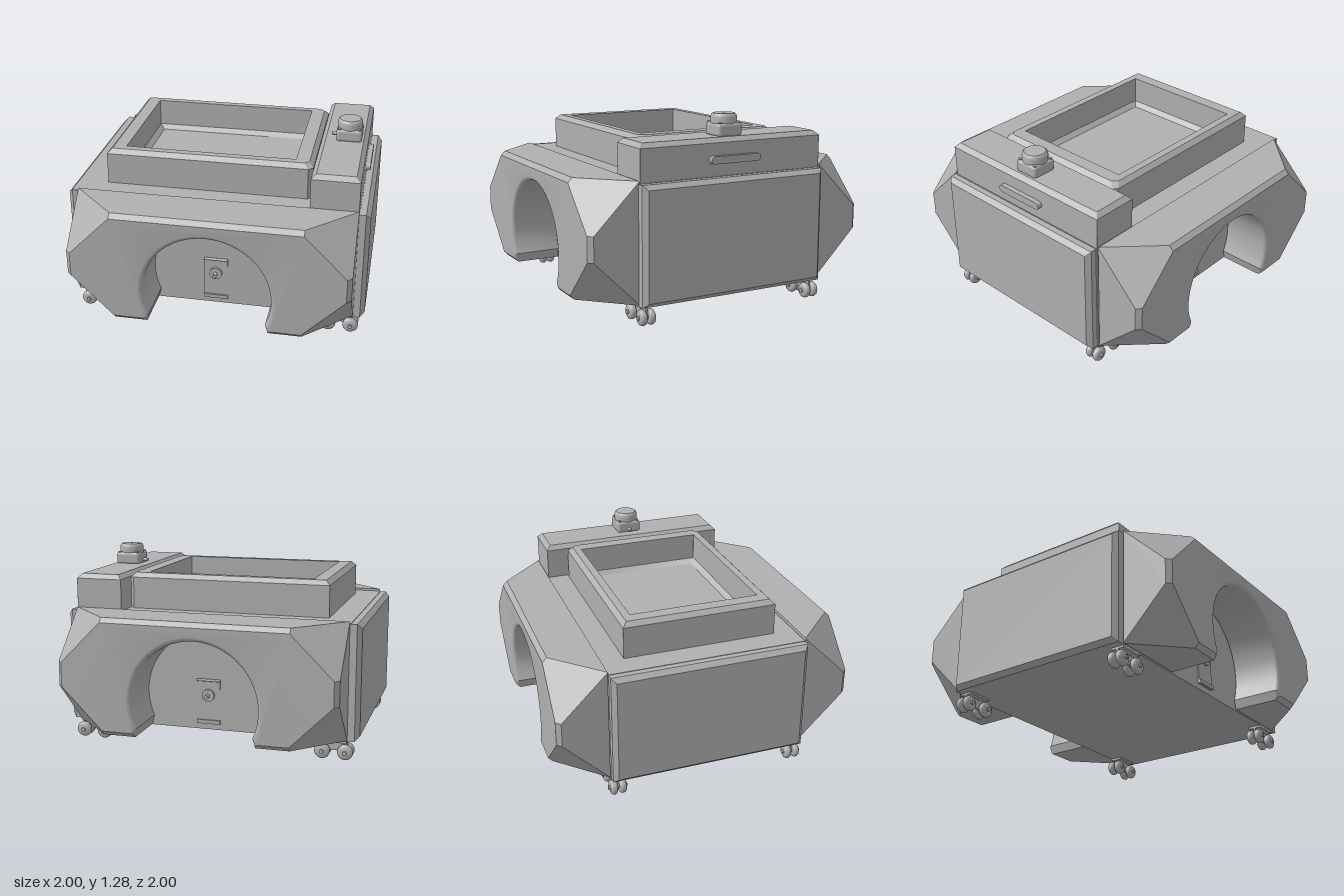
import * as THREE from 'three';
import { toCreasedNormals } from 'three/addons/utils/BufferGeometryUtils.js';
import { RoundedBoxGeometry } from 'three/addons/geometries/RoundedBoxGeometry.js';

const grey = new THREE.MeshStandardMaterial({ color: 0xb0b0b0 });
grey.name = 'grey';

// Skins a stack of counter-clockwise outlines { z, pts } and caps both ends
function loft(rings) {
  const pos = [];
  const put = (ring, i) => pos.push(ring.pts[i][0], ring.pts[i][1], ring.z);
  const n = rings[0].pts.length;
  for (let r = 0; r < rings.length - 1; r++) {
    const a = rings[r], b = rings[r + 1];
    for (let i = 0; i < n; i++) {
      const j = (i + 1) % n;
      put(a, i); put(a, j); put(b, j);
      put(a, i); put(b, j); put(b, i);
    }
  }
  const cap = (ring, flip) => {
    const contour = ring.pts.map(([x, y]) => new THREE.Vector2(x, y));
    for (const [a, b, c] of THREE.ShapeUtils.triangulateShape(contour, [])) {
      for (const i of flip ? [a, c, b] : [a, b, c]) put(ring, i);
    }
  };
  cap(rings[0], true);
  cap(rings[rings.length - 1], false);
  const geo = new THREE.BufferGeometry();
  geo.setAttribute('position', new THREE.Float32BufferAttribute(pos, 3));
  return toCreasedNormals(geo, 0.5);
}

// Rectangle outline whose right-hand corners are cut by c
const rect = (x0, x1, y0, y1, inset = 0, c = 0.001) => {
  const l = x0 + inset, r = x1 - inset, b = y0 + inset, t = y1 - inset;
  return [[l, b], [r - c, b], [r, b + c], [r, t - c], [r - c, t], [l, t]];
};

function add(parent, name, geo, x = 0, y = 0, z = 0) {
  const mesh = new THREE.Mesh(geo, grey);
  mesh.name = name;
  mesh.position.set(x, y, z);
  parent.add(mesh);
  return mesh;
}

// End module: corner-cut block with an arched opening and softened rim
function endModuleGeometry() {
  const ring = (z, inset, flare) => {
    const c = z - 0.67 - 2 * inset + 0.006;
    const hx = 0.925 - inset, yb = 0.14 + inset, yt = 0.915 - inset, foot = 0.4 + flare;
    const pts = [[foot, yb], [hx - c, yb], [hx, yb + c], [hx, yt - c], [hx - c, yt],
      [c - hx, yt], [-hx, yt - c], [-hx, yb + c], [c - hx, yb], [-foot, yb]];
    const steps = 48, low = 0.42;
    for (let i = 0; i <= steps; i++) {
      const a = Math.PI + low - (i / steps) * (Math.PI + 2 * low);
      pts.push([(0.42 + flare) * Math.cos(a), 0.375 + (0.42 + flare) * Math.sin(a)]);
    }
    return { z, pts };
  };
  const rings = [ring(0.667, 0, 0)];
  for (let k = 0; k <= 5; k++) {
    const a = (k / 5) * Math.PI / 2, d = 0.03 * Math.sin(a);
    rings.push(ring(0.97 + d, d, 0.03 * (1 - Math.cos(a))));
  }
  return loft(rings);
}

// End module with the small service panel inside its arch
function makeEnd(name) {
  const end = new THREE.Group();
  end.name = name;
  add(end, 'archedModule', endModuleGeometry());
  add(end, 'servicePlate', new THREE.BoxGeometry(0.16, 0.3, 0.008), 0, 0.325, 0.664);
  add(end, 'upperBar', new RoundedBoxGeometry(0.16, 0.016, 0.02, 2, 0.007), 0, 0.472, 0.67);
  add(end, 'lowerBar', new THREE.BoxGeometry(0.16, 0.025, 0.02), 0, 0.19, 0.67);
  const knob = new THREE.CylinderGeometry(0.042, 0.042, 0.02, 32).rotateX(Math.PI / 2);
  add(end, 'connector', knob, 0, 0.37, 0.675);
  const pin = new THREE.CylinderGeometry(0.013, 0.013, 0.05, 16).rotateX(Math.PI / 2);
  add(end, 'connectorPin', pin, 0, 0.37, 0.7);
  return end;
}

// Caster: two pairs of wheels joined by a bracket
function makeCaster(x, z) {
  const caster = new THREE.Group();
  caster.name = 'caster';
  const profile = [[0.0, -0.022], [0.036, -0.022], [0.046, -0.016], [0.051, -0.006], [0.051, 0.006],
    [0.046, 0.016], [0.036, 0.022], [0.0, 0.022]].map(([r, y]) => new THREE.Vector2(r, y));
  const wheelGeo = toCreasedNormals(new THREE.LatheGeometry(profile, 28).rotateX(Math.PI / 2), 0.6);
  for (const sx of [-1, 1]) {
    for (const sz of [-1, 1]) add(caster, 'wheel', wheelGeo, sx * 0.075, 0.056, sz * 0.029);
    const axle = new THREE.CylinderGeometry(0.014, 0.014, 0.125, 16).rotateX(Math.PI / 2);
    add(caster, 'axle', axle, sx * 0.075, 0.056, 0);
  }
  const s = new THREE.Shape();
  s.moveTo(-0.085, 0.13);
  s.lineTo(-0.095, 0.05);
  s.lineTo(-0.055, 0.045);
  s.quadraticCurveTo(0, 0.07, 0.055, 0.045);
  s.lineTo(0.095, 0.05);
  s.lineTo(0.085, 0.13);
  const bracket = new THREE.ExtrudeGeometry(s, { depth: 0.012, bevelEnabled: false }).translate(0, 0, -0.006);
  add(caster, 'bracket', bracket);
  add(caster, 'mountPlate', new THREE.BoxGeometry(0.17, 0.014, 0.09), 0, 0.126, 0);
  caster.position.set(x, 0, z);
  return caster;
}

// Push button on a square housing
function makeButton() {
  const button = new THREE.Group();
  button.name = 'stopButton';
  add(button, 'housing', new RoundedBoxGeometry(0.175, 0.085, 0.175, 3, 0.02), 0, 0.037, 0);
  const profile = [[0, 0.07], [0.082, 0.07], [0.084, 0.115], [0.08, 0.13], [0.07, 0.139], [0, 0.141]]
    .map(([r, y]) => new THREE.Vector2(r, y));
  add(button, 'cap', toCreasedNormals(new THREE.LatheGeometry(profile, 40), 0.6));
  for (const sx of [-1, 1]) for (const sz of [-1, 1]) {
    add(button, 'screw', new THREE.CylinderGeometry(0.012, 0.012, 0.008, 12), sx * 0.067, 0.081, sz * 0.067);
  }
  const gland = new THREE.CylinderGeometry(0.011, 0.014, 0.045, 12).rotateZ(Math.PI / 2);
  add(button, 'cableGland', gland, -0.1, 0.023, 0);
  button.position.set(0.797, 1.14, 0);
  return button;
}

export function createModel() {
  const model = new THREE.Group();
  model.name = 'cart';

  add(model, 'body', new THREE.BoxGeometry(1.86, 0.765, 1.32), 0, 0.5175, 0);

  // Bevelled side panels
  for (const s of [-1, 1]) {
    const panel = loft([
      { z: 0.925, pts: rect(-0.662, 0.662, 0.135, 0.897) },
      { z: 0.97, pts: rect(-0.662, 0.662, 0.135, 0.897) },
      { z: 1.0, pts: rect(-0.662, 0.662, 0.135, 0.897, 0.03) },
    ]).rotateY(s * Math.PI / 2);
    add(model, s > 0 ? 'leftPanel' : 'rightPanel', panel, 0, 0, s > 0 ? 0.01 : 0);
  }

  // Front and back modules
  model.add(makeEnd('frontEnd'));
  const back = makeEnd('backEnd');
  back.rotation.y = Math.PI;
  model.add(back);

  // Raised tray: outer wall, rim, inner wall and floor in one skin
  const outer = (i) => rect(-0.765, 0.607, -0.515, 0.515, i, 0.03);
  const inner = (i) => rect(-0.65, 0.487, -0.435, 0.435, i);
  add(model, 'tray', loft([
    { z: 0.89, pts: outer(0) },
    { z: 1.11, pts: outer(0) },
    { z: 1.14, pts: outer(0.03) },
    { z: 1.14, pts: inner(0) },
    { z: 0.955, pts: inner(0) },
    { z: 0.925, pts: inner(0.033) },
  ]).rotateX(-Math.PI / 2));

  // Control console with handle and button
  const consoleRect = (i) => rect(0.61, 0.925, -0.66, 0.66, i);
  add(model, 'console', loft([
    { z: 0.89, pts: consoleRect(0) },
    { z: 1.11, pts: consoleRect(0) },
    { z: 1.14, pts: consoleRect(0.03) },
  ]).rotateX(-Math.PI / 2));
  const grip = new THREE.Shape();
  grip.absarc(0.158, 0, 0.024, -Math.PI / 2, Math.PI / 2);
  grip.absarc(-0.158, 0, 0.024, Math.PI / 2, Math.PI * 1.5);
  const gripGeo = new THREE.ExtrudeGeometry(grip, { depth: 0.04, bevelEnabled: false, curveSegments: 12 });
  add(model, 'handle', gripGeo.rotateY(Math.PI / 2), 0.918, 1.005, 0);
  model.add(makeButton());

  for (const sx of [-1, 1]) for (const sz of [-1, 1]) model.add(makeCaster(sx * 0.835, sz * 0.617));
  return model;
}
